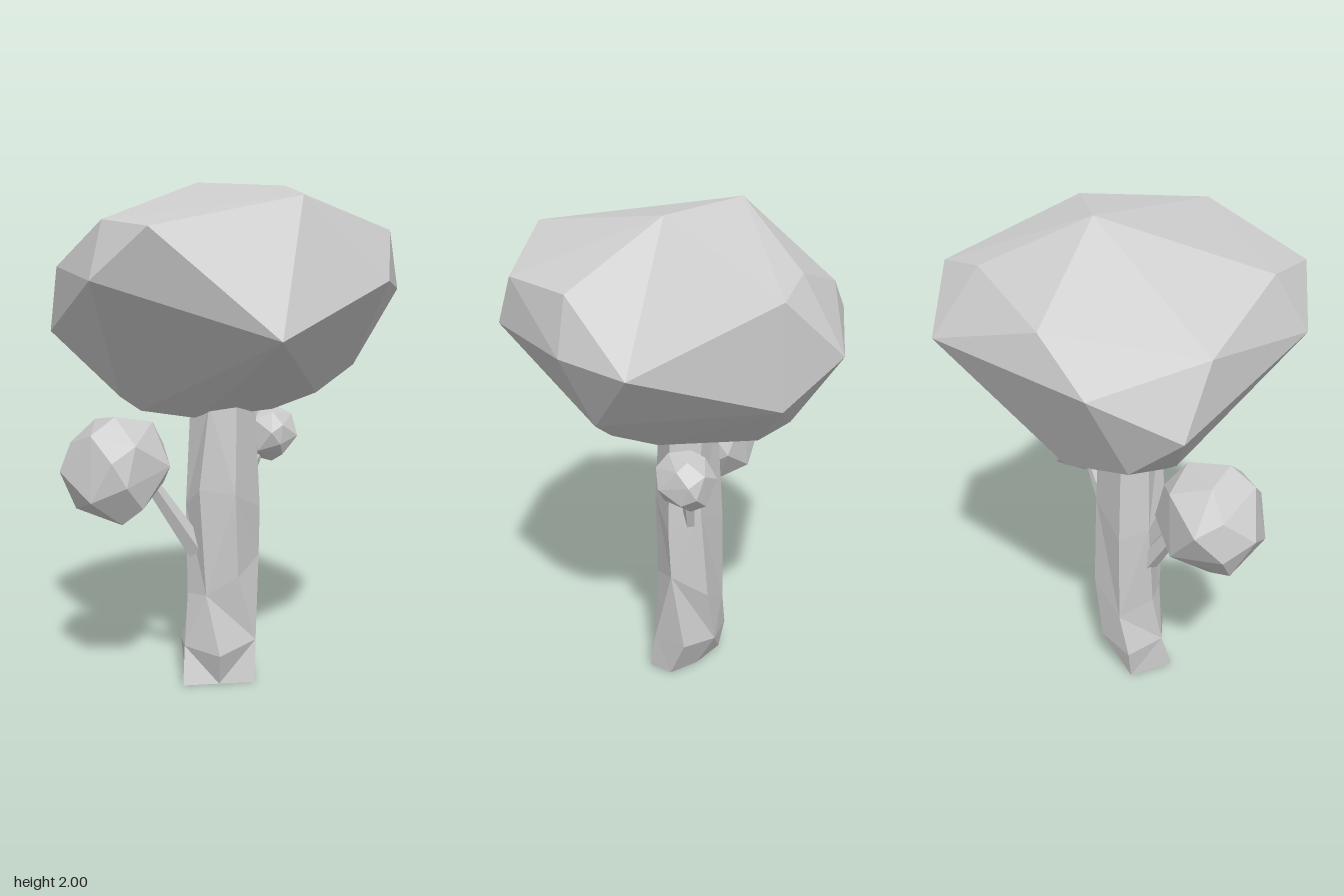
import * as THREE from 'three';
import { ConvexGeometry } from 'three/addons/geometries/ConvexGeometry.js';

const material = new THREE.MeshStandardMaterial({ color: 0xcccccc, flatShading: true });
const vec = (p) => new THREE.Vector3(...p);

function addMesh(group, name, geometry) {
  const mesh = new THREE.Mesh(geometry, material);
  mesh.name = name;
  group.add(mesh);
  return mesh;
}

// Faceted foliage ball: hull of evenly spread, slightly jittered points
function foliageBall(center, radius, count, turn) {
  const points = [];
  for (let i = 0; i < count; i++) {
    const h = 1 - (2 * (i + 0.5)) / count;
    const a = i * 2.39996 + turn + 0.25 * Math.sin(i * 5.3 + turn);
    const r = Math.sqrt(1 - h * h);
    points.push(new THREE.Vector3(r * Math.cos(a), h, r * Math.sin(a))
      .multiplyScalar(radius * (1.03 + 0.04 * Math.sin(i * 3.7))).add(vec(center)));
  }
  return new ConvexGeometry(points);
}

// Crown hull with one corner pulled in afterwards, leaving a dent at the back
function dentedHull(points, corner, dent) {
  const geometry = new ConvexGeometry([...points, corner].map(vec));
  const position = geometry.attributes.position;
  const p = new THREE.Vector3();
  for (let i = 0; i < position.count; i++) {
    p.fromBufferAttribute(position, i);
    if (p.distanceTo(vec(corner)) < 0.001) position.setXYZ(i, ...dent);
  }
  geometry.computeVertexNormals();
  return geometry;
}

// Closed solid through rings of equal point count, running from bottom to top
function loft(rings) {
  const n = rings[0].length;
  const index = [];
  for (let r = 0; r < rings.length - 1; r++) {
    for (let i = 0; i < n; i++) {
      const a = r * n + i, b = r * n + (i + 1) % n;
      // alternate the diagonals for an irregular bark
      if ((r + i) % 2) index.push(a, b, b + n, a, b + n, a + n);
      else index.push(a, b, a + n, b, b + n, a + n);
    }
  }
  const top = (rings.length - 1) * n;
  for (let i = 1; i < n - 1; i++) {
    index.push(0, i + 1, i, top, top + i, top + i + 1);
  }
  const geometry = new THREE.BufferGeometry();
  geometry.setAttribute('position', new THREE.Float32BufferAttribute(rings.flat(2), 3));
  geometry.setIndex(index);
  const flat = geometry.toNonIndexed();
  flat.computeVertexNormals();
  return flat;
}

// Tapered five-sided branch between two points
function addBranch(group, name, from, to, r0, r1) {
  const a = vec(from), b = vec(to);
  const dir = b.clone().sub(a);
  const mesh = addMesh(group, name, new THREE.CylinderGeometry(r1, r0, dir.length(), 5));
  mesh.position.copy(a).add(b).multiplyScalar(0.5);
  mesh.quaternion.setFromUnitVectors(new THREE.Vector3(0, 1, 0), dir.normalize());
}

export function createModel() {
  const group = new THREE.Group();
  group.name = 'tree';

  // Trunk: six-sided, knobbly at the foot
  addMesh(group, 'trunk', loft([
    [[-0.04, 0, 0.18], [0.045, 0, 0.062], [0.13, 0, -0.055], [0.05, 0, -0.12], [-0.07, 0, -0.06], [-0.18, 0, 0.05]],
    [[-0.07, 0.15, 0.145], [0.08, 0.13, 0.09], [0.11, 0.17, -0.08], [0, 0.17, -0.18], [-0.14, 0.15, -0.1], [-0.205, 0.13, 0.05]],
    [[-0.09, 0.36, 0.11], [0.01, 0.37, 0.1], [0.09, 0.44, 0], [0.05, 0.5, -0.155], [-0.1, 0.4, -0.15], [-0.185, 0.3, 0]],
    [[-0.11, 0.72, 0.1], [0, 0.8, 0.125], [0.095, 0.78, 0.02], [0.06, 0.7, -0.15], [-0.07, 0.78, -0.15], [-0.18, 0.68, 0]],
    [[-0.09, 1.14, 0.09], [0.02, 1.14, 0.09], [0.08, 1.14, 0], [0.05, 1.14, -0.13], [-0.07, 1.14, -0.13], [-0.15, 1.14, 0]],
  ]));

  // Crown: broad faceted mass, from the top down to the flat underside
  const crownTop = [
    [-0.22, 2, -0.065], [0.08, 1.98, -0.26], [0.5, 1.9, 0.09], [-0.06, 1.825, 0.53],
    [0.235, 1.79, 0.56], [0.6, 1.79, -0.26], [0.42, 1.785, -0.48], [-0.26, 1.785, -0.64],
    [-0.36, 1.82, -0.44], [-0.555, 1.7, -0.115], [-0.46, 1.665, 0.455],
  ];
  const crownMiddle = [
    [0.65, 1.61, -0.2], [0.01, 1.61, 0.64], [0.45, 1.58, -0.51], [-0.48, 1.575, -0.575],
    [-0.655, 1.535, 0.1], [0.59, 1.41, 0.28], [-0.58, 1.41, 0.41], [-0.27, 1.41, -0.63],
  ];
  const crownBottom = [
    [-0.545, 1.235, 0.2], [0.335, 1.285, -0.39], [0.275, 1.18, -0.24], [-0.295, 1.155, 0.28],
    [-0.42, 1.14, -0.1], [-0.24, 1.1, 0.22], [-0.28, 1.105, -0.18], [0.1, 1.105, -0.18],
    [-0.05, 1.075, 0.08],
  ];
  addMesh(group, 'crown', dentedHull([...crownTop, ...crownMiddle, ...crownBottom],
    [0.24, 1.75, -0.685], [0.24, 1.535, -0.625]));

  // Side branches, each ending in a foliage ball
  addBranch(group, 'frontBranch', [-0.07, 0.54, 0.08], [-0.125, 0.82, 0.26], 0.045, 0.03);
  addMesh(group, 'frontFoliage', foliageBall([-0.18, 0.895, 0.388], 0.213, 23, 0.6));
  addBranch(group, 'backBranch', [-0.03, 0.73, -0.13], [0.0, 0.95, -0.22], 0.025, 0.017);
  addMesh(group, 'backFoliage', foliageBall([0.005, 0.99, -0.26], 0.115, 24, 2.1));

  return group;
}
